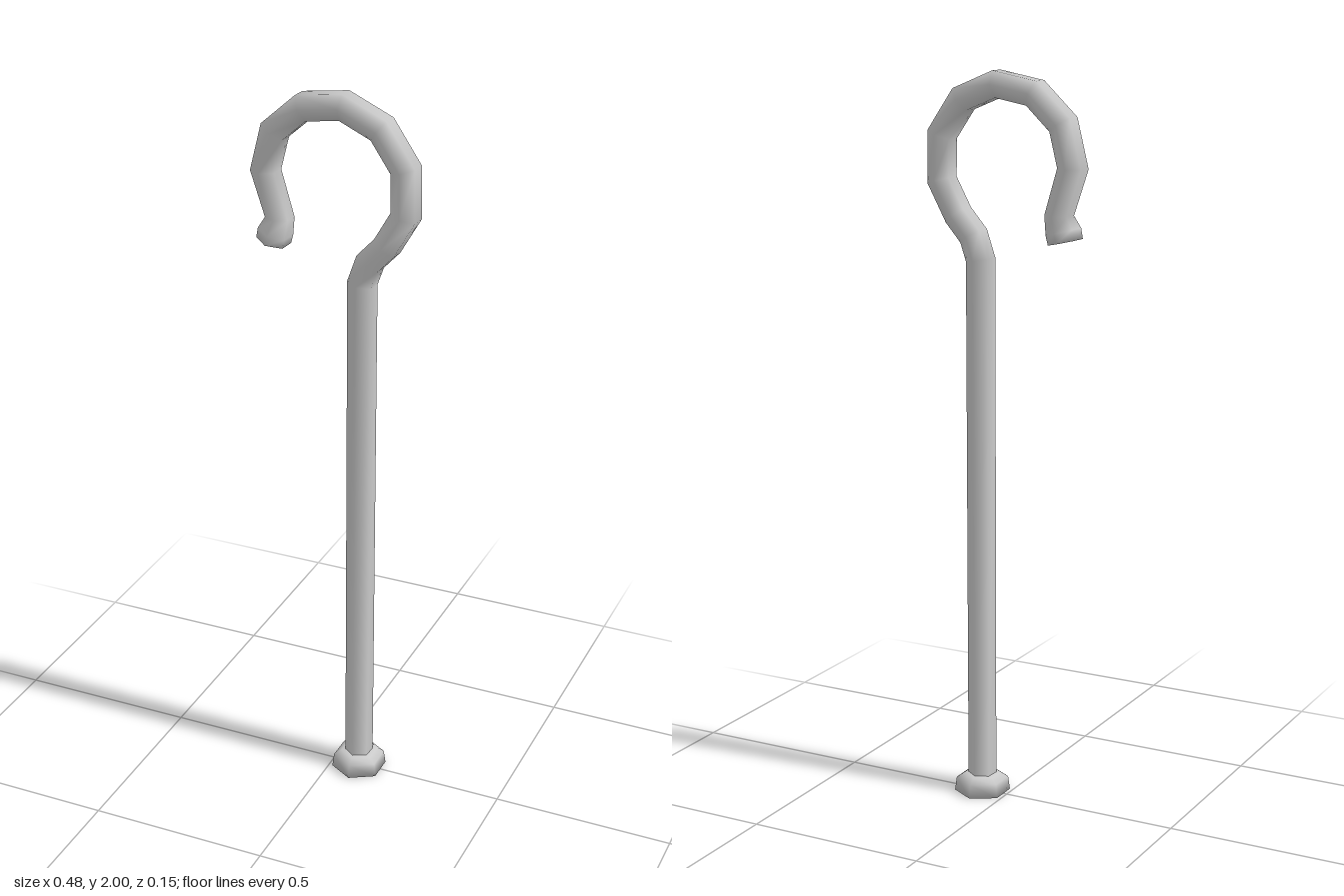
import * as THREE from 'three';

const SIDES = 6;
const SHAFT_X = 0.077;
const TWIST = 0.085; // the hook's plane is turned slightly about the shaft

// Sweep a hexagonal section along a planar path of [x, y, radius]
function sweep(path) {
  const pts = path.map(([x, y]) => new THREE.Vector3(x, y, (x - SHAFT_X) * TWIST));
  const B = new THREE.Vector3(-TWIST, 0, 1).normalize();
  const pos = [], idx = [];
  const last = pts.length - 1;
  pts.forEach((p, i) => {
    const a = p.clone().sub(pts[Math.max(i - 1, 0)]).normalize();
    const b = pts[Math.min(i + 1, last)].clone().sub(p).normalize();
    const T = a.clone().add(b).normalize();
    const N = B.clone().cross(T);
    const miter = i > 0 && i < last ? 1 / T.dot(b) : 1;
    for (let j = 0; j < SIDES; j++) {
      const t = ((j + 0.5) / SIDES) * Math.PI * 2; // corners face along B
      const v = p.clone()
        .addScaledVector(N, Math.cos(t) * path[i][2] * miter)
        .addScaledVector(B, Math.sin(t) * path[i][2]);
      pos.push(v.x, v.y, v.z);
    }
  });
  for (let i = 0; i < last; i++) {
    for (let j = 0; j < SIDES; j++) {
      const k = (j + 1) % SIDES;
      const a = i * SIDES + j, b = i * SIDES + k;
      idx.push(a, b, b + SIDES, a, b + SIDES, a + SIDES);
    }
  }
  // closing cap at the far end
  for (let j = 1; j < SIDES - 1; j++) {
    idx.push(last * SIDES, last * SIDES + j, last * SIDES + j + 1);
  }
  const g = new THREE.BufferGeometry();
  g.setAttribute('position', new THREE.Float32BufferAttribute(pos, 3));
  g.setIndex(idx);
  g.computeVertexNormals();
  return g;
}

export function createModel() {
  const group = new THREE.Group();
  group.name = 'crook';
  const material = new THREE.MeshStandardMaterial({ color: 0xcccccc });

  // Straight shaft running into the curved hook, ending in a flared tip
  const r = 0.039;
  const path = [
    [0.077, 0.03, r], [0.078, 1.5, r], [0.1, 1.562, r], [0.148, 1.614, r],
    [0.2, 1.704, r], [0.198, 1.825, r], [0.13, 1.92, r], [0.024, 1.963, r],
    [-0.09, 1.944, r], [-0.175, 1.868, r], [-0.204, 1.757, r],
    [-0.164, 1.635, 0.037], [-0.177, 1.593, 0.047], [-0.183, 1.567, 0.046],
  ];
  const staff = new THREE.Mesh(sweep(path), material);
  staff.name = 'shaftAndHook';
  group.add(staff);

  // Hexagonal foot with a bevelled top
  const profile = [[0, 0], [0.077, 0], [0.072, 0.038], [0.052, 0.051], [0.036, 0.053]]
    .map(([x, y]) => new THREE.Vector2(x, y));
  const foot = new THREE.Mesh(new THREE.LatheGeometry(profile, SIDES), material);
  foot.name = 'foot';
  foot.position.x = SHAFT_X;
  group.add(foot);

  return group;
}
